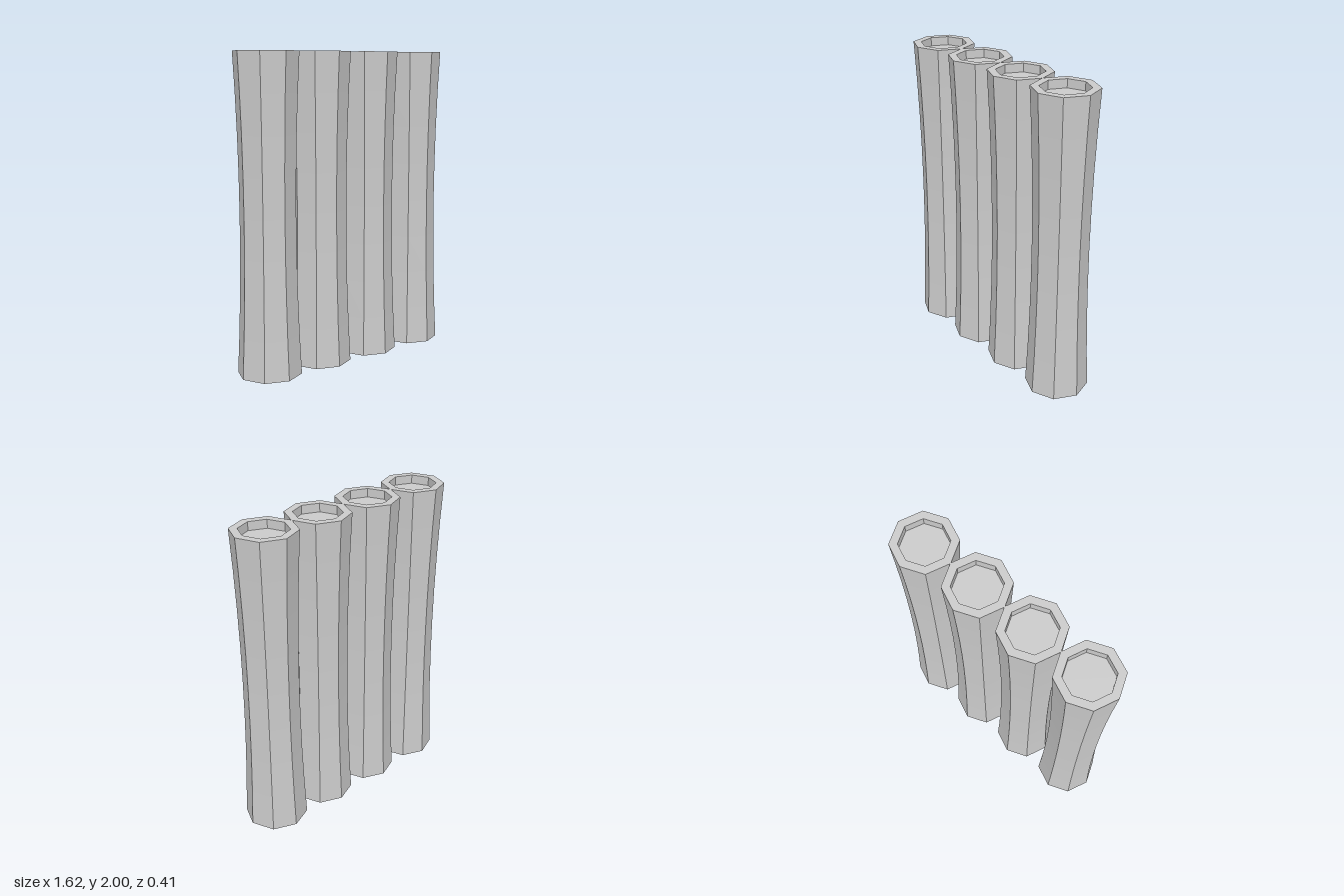
import * as THREE from 'three';

const COUNT = 4, SPACING = 0.403;
const HEIGHT = 2, END_R = 0.203, WAIST_R = 0.175;
const RECESS_R = 0.151, RECESS_DEPTH = 0.055;
const STEPS = 8;

// Closed profile: bottom recess, waisted outer wall, top recess
function columnProfile() {
  const p = [
    new THREE.Vector2(0, RECESS_DEPTH),
    new THREE.Vector2(RECESS_R, RECESS_DEPTH),
    new THREE.Vector2(RECESS_R, 0),
  ];
  for (let i = 0; i <= STEPS; i++) {
    const t = (i / STEPS) * 2 - 1;
    p.push(new THREE.Vector2(WAIST_R + (END_R - WAIST_R) * t * t, (i / STEPS) * HEIGHT));
  }
  p.push(
    new THREE.Vector2(RECESS_R, HEIGHT),
    new THREE.Vector2(RECESS_R, HEIGHT - RECESS_DEPTH),
    new THREE.Vector2(0, HEIGHT - RECESS_DEPTH),
  );
  return p;
}

export function createModel() {
  const group = new THREE.Group();
  group.name = 'columnRow';
  const material = new THREE.MeshStandardMaterial({ color: 0xcccccc, flatShading: true });
  const geometry = new THREE.LatheGeometry(columnProfile(), 8);

  // Row of identical octagonal columns, touching at their ends
  for (let i = 0; i < COUNT; i++) {
    const column = new THREE.Mesh(geometry, material);
    column.name = `column${i + 1}`;
    column.position.x = (i - (COUNT - 1) / 2) * SPACING;
    group.add(column);
  }
  return group;
}
